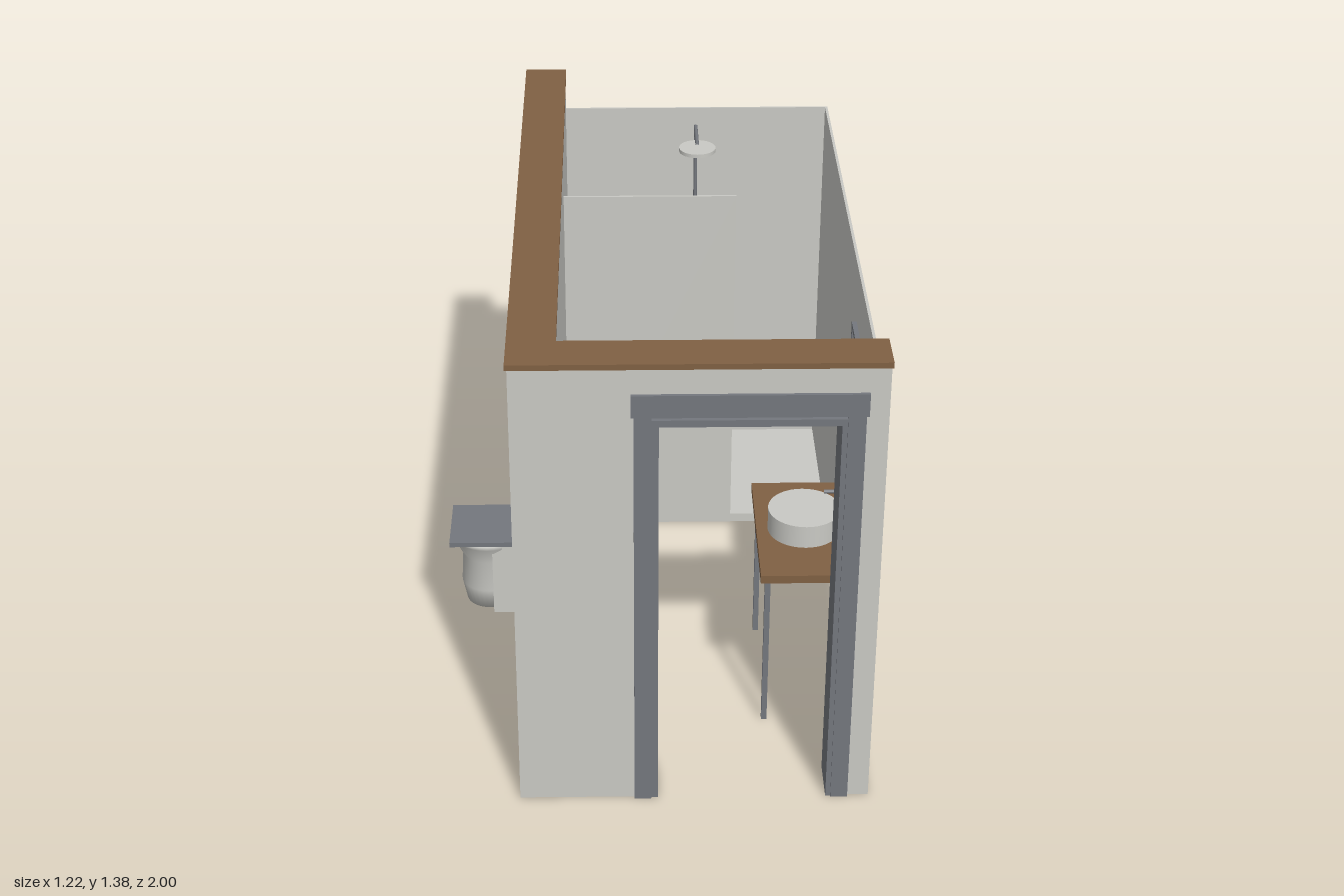
import * as THREE from 'three';

const paint = (name, color) => {
  const m = new THREE.MeshStandardMaterial({ color });
  m.name = name;
  return m;
};

export function createModel() {
  const plaster = paint('pale plaster', 0xc9c9c4);
  const wood = paint('brown wood', 0x806043);
  const slate = paint('slate grey', 0x74777d);
  const root = new THREE.Group();
  root.name = 'bathroom';

  const add = (name, geometry, material, parent = root) => {
    const mesh = new THREE.Mesh(geometry, material);
    mesh.name = name;
    parent.add(mesh);
    return mesh;
  };
  const group = (name) => {
    const g = new THREE.Group();
    g.name = name;
    root.add(g);
    return g;
  };
  // Box given by its extents on each axis
  const box = (name, [x0, x1], [y0, y1], [z0, z1], material, parent) => {
    const mesh = add(name, new THREE.BoxGeometry(x1 - x0, y1 - y0, z1 - z0), material, parent);
    mesh.position.set((x0 + x1) / 2, (y0 + y1) / 2, (z0 + z1) / 2);
    return mesh;
  };
  // Round bar between two points
  const bar = (name, a, b, r, material, parent) => {
    const path = new THREE.LineCurve3(new THREE.Vector3(...a), new THREE.Vector3(...b));
    return add(name, new THREE.TubeGeometry(path, 1, r, 12), material, parent);
  };

  // Walls
  const walls = group('walls');
  box('leftWall', [-0.37, -0.25], [0, 1.37], [-1, 0.99], plaster, walls);
  box('rightWall', [0.598, 0.606], [0, 1.25], [-1, 0.87], plaster, walls);
  box('backWall', [-0.25, 0.606], [0, 1.25], [-1, -0.994], plaster, walls);

  // Front wall with the doorway notched out of its lower edge
  const outline = new THREE.Shape([
    [-0.25, 0], [-0.005, 0], [-0.005, 1.225], [0.5, 1.225],
    [0.5, 0], [0.605, 0], [0.605, 1.37], [-0.25, 1.37],
  ].map(([x, y]) => new THREE.Vector2(x, y)));
  add('frontWall', new THREE.ExtrudeGeometry(outline, { depth: 0.12, bevelEnabled: false }),
    plaster, walls).position.z = 0.87;

  // L-shaped wooden coping
  const cap = new THREE.Shape([
    [-0.376, 1], [-0.247, 1], [-0.247, -0.865], [0.609, -0.865], [0.609, -0.995], [-0.376, -0.995],
  ].map(([x, y]) => new THREE.Vector2(x, y)));
  const coping = add('wallCoping',
    new THREE.ExtrudeGeometry(cap, { depth: 0.016, bevelEnabled: false }), wood, walls);
  coping.rotation.x = -Math.PI / 2;
  coping.position.y = 1.368;

  // Door lining and the casings on both faces
  const door = group('doorFrame');
  box('leftJamb', [-0.005, 0.015], [0, 1.22], [0.865, 0.995], slate, door);
  box('rightJamb', [0.485, 0.5], [0, 1.22], [0.865, 0.995], slate, door);
  box('headJamb', [0.015, 0.485], [1.2, 1.22], [0.865, 0.995], slate, door);
  for (const z of [[0.989, 1], [0.858, 0.871]]) {
    box('leftCasing', [-0.05, -0.004], [0, 1.232], z, slate, door);
    box('rightCasing', [0.499, 0.546], [0, 1.232], z, slate, door);
    box('headCasing', [-0.057, 0.553], [1.23, 1.295], z, slate, door);
  }

  // Shower
  const shower = group('shower');
  box('showerTray', [-0.25, 0.598], [0, 0.03], [-0.994, -0.44], plaster, shower);
  box('showerScreen', [-0.25, 0.283], [0.03, 1.19], [-0.442, -0.434], plaster, shower);
  box('drain', [0.15, 0.2], [0.03, 0.034], [-0.735, -0.685], slate, shower);
  bar('riserPipe', [0.175, 0.5, -0.983], [0.175, 1.193, -0.983], 0.006, slate, shower);
  bar('showerArm', [0.175, 1.188, -0.988], [0.175, 1.188, -0.825], 0.006, slate, shower);
  add('showerHead', new THREE.CylinderGeometry(0.059, 0.059, 0.012, 32), plaster, shower)
    .position.set(0.175, 1.176, -0.828);

  // Vanity with vessel basin, tap and mirror
  const vanity = group('vanity');
  box('counter', [0.312, 0.598], [0.49, 0.515], [0.155, 0.657], wood, vanity);
  for (const x of [0.333, 0.58]) for (const z of [0.18, 0.632]) {
    box('counterLeg', [x - 0.008, x + 0.008], [0, 0.49], [z - 0.008, z + 0.008], slate, vanity);
  }
  add('basin', new THREE.CylinderGeometry(0.105, 0.105, 0.07, 40), plaster, vanity)
    .position.set(0.45, 0.55, 0.408);
  bar('tapSpout', [0.505, 0.64, 0.408], [0.598, 0.64, 0.408], 0.006, slate, vanity);
  box('mirrorGlass', [0.592, 0.598], [0.67, 1.075], [0.225, 0.587], plaster, vanity);
  for (const y of [0.655, 1.075]) {
    box('mirrorRail', [0.584, 0.598], [y, y + 0.015], [0.21, 0.602], slate, vanity);
  }
  for (const z of [0.21, 0.587]) {
    box('mirrorStile', [0.584, 0.598], [0.67, 1.075], [z, z + 0.015], slate, vanity);
  }

  // Towel on its rail
  const rail = group('towelRail');
  bar('railBar', [-0.218, 0.775, 0.507], [-0.218, 0.775, 0.747], 0.006, slate, rail);
  for (const z of [0.515, 0.739]) {
    bar('railBracket', [-0.25, 0.775, z], [-0.218, 0.775, z], 0.005, slate, rail);
  }
  box('towel', [-0.23, -0.206], [0.42, 0.785], [0.537, 0.717], plaster, rail);

  // Toilet set against the outside of the left wall
  const toilet = group('toilet');
  const bowl = [[0, 0], [0.073, 0], [0.087, 0.07], [0.081, 0.17], [0.112, 0.235], [0.112, 0.248], [0, 0.248]]
    .map(([r, y]) => new THREE.Vector2(r, y));
  add('bowl', new THREE.LatheGeometry(bowl, 32), plaster, toilet).position.set(-0.495, 0, -0.023);
  box('toiletBase', [-0.48, -0.3], [0, 0.248], [-0.125, 0.079], plaster, toilet);
  box('seatLid', [-0.61, -0.3], [0.25, 0.265], [-0.133, 0.088], slate, toilet);

  return root;
}
